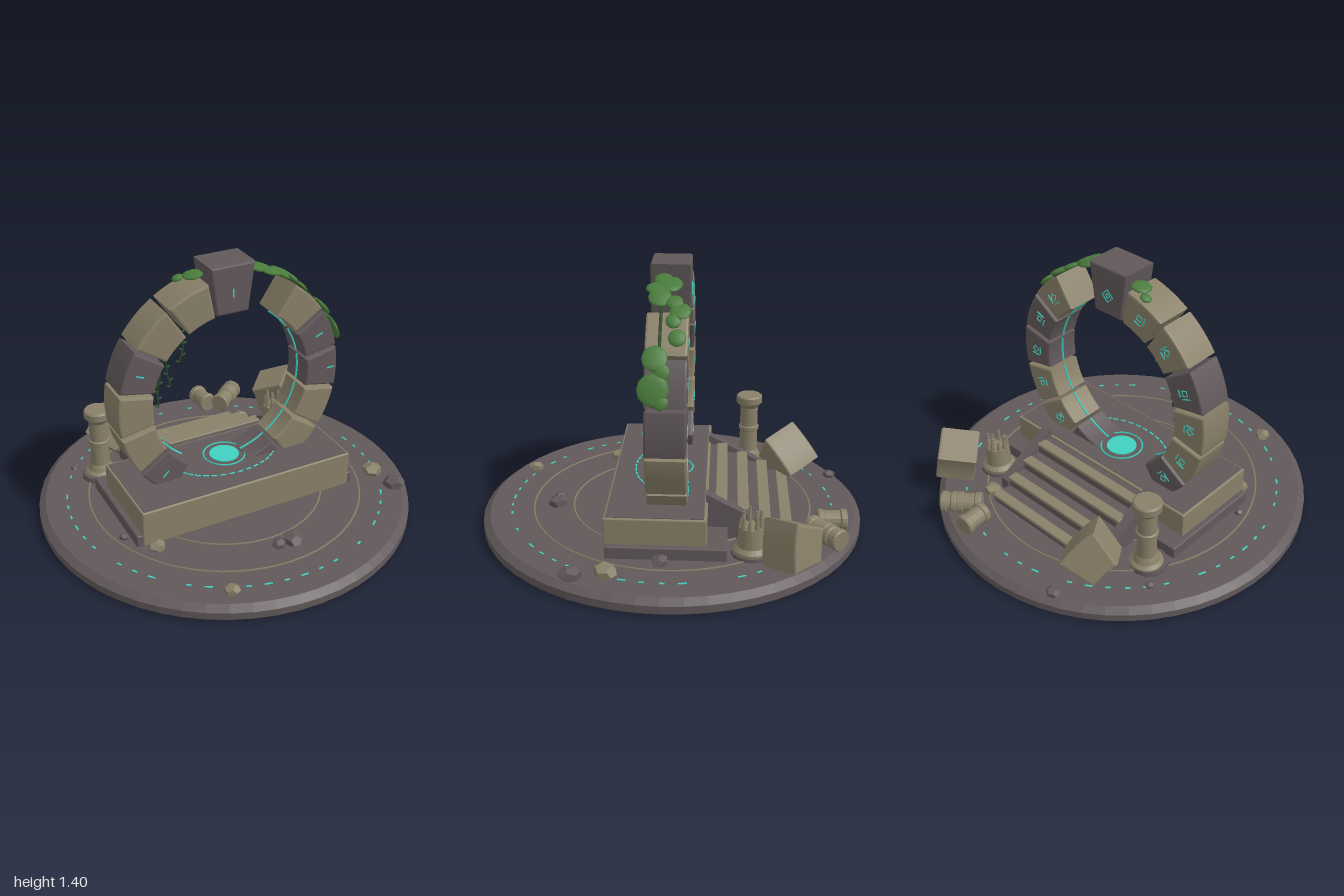
import * as THREE from 'three';
import { RoundedBoxGeometry } from 'three/addons/geometries/RoundedBoxGeometry.js';

const std = (name, color, extra = {}) => {
  const m = new THREE.MeshStandardMaterial({ color, ...extra });
  m.name = name;
  return m;
};

export function createModel() {
  const root = new THREE.Group();
  root.name = 'ruinedStoneGate';
  const dark = std('darkStone', 0x61585a);
  const tan = std('paleStone', 0x898069);
  const teal = std('glowTeal', 0x40d0c0);
  const leafGreen = std('leafGreen', 0x4a7c3c);
  const vineGreen = std('vineGreen', 0x2c4a26);
  const deg = Math.PI / 180;

  const add = (name, geo, mat, pos = [0, 0, 0], rot = [0, 0, 0], parent = root) => {
    const m = new THREE.Mesh(geo, mat);
    m.name = name;
    m.position.set(...pos);
    m.rotation.set(...rot);
    parent.add(m);
    return m;
  };
  const box = (name, w, h, d, mat, pos, rot, parent) =>
    add(name, new THREE.BoxGeometry(w, h, d), mat, pos, rot, parent);
  const lathe = (pts, n = 24) =>
    new THREE.LatheGeometry(pts.map(p => new THREE.Vector2(...p)), n);
  const flatten = g => {
    const f = g.index ? g.toNonIndexed() : g;
    f.computeVertexNormals();
    return f;
  };

  // Round plinth with inlaid rings and a dashed glowing circle
  const FLOOR = 0.075;
  add('roundBase', flatten(lathe([[0, 0], [0.99, 0], [1, 0.01], [1, 0.048], [0.965, FLOOR], [0, FLOOR]], 56)), dark);
  for (const r of [0.735, 0.525])
    add('inlaidRing', new THREE.TorusGeometry(r, 0.006, 4, 64), tan, [0, FLOOR, 0], [Math.PI / 2, 0, 0]);
  for (let i = 0; i < 56; i++) {
    if (i % 7 === 3 || i % 11 === 5) continue;
    const a = i / 56 * Math.PI * 2;
    box('glowDash', i % 3 ? 0.026 : 0.04, 0.006, 0.009, teal,
      [0.85 * Math.sin(a), FLOOR, 0.85 * Math.cos(a)], [0, a, 0]);
  }

  // Two-tier platform
  add('platformLower', new RoundedBoxGeometry(1.27, 0.075, 0.59, 2, 0.008), dark, [0, 0.1, -0.005]);
  add('platformUpper', new RoundedBoxGeometry(1.21, 0.2, 0.5, 2, 0.008), tan, [0, 0.173, 0.05]);
  box('platformTop', 1.185, 0.006, 0.475, dark, [0, 0.273, 0.052]);

  // Glowing portal seal on the platform
  add('sealDisc', new THREE.CylinderGeometry(0.08, 0.08, 0.006, 32), teal, [0, 0.278, 0]);
  add('sealRing', new THREE.TorusGeometry(0.112, 0.005, 4, 40), teal, [0, 0.278, 0], [Math.PI / 2, 0, 0]);
  for (let i = 0; i < 15; i++) {
    const a = (-68 + i * 136 / 14) * deg;
    box('sealDash', 0.03, 0.006, 0.008, teal,
      [0.29 * Math.sin(a), 0.277, 0.19 * Math.cos(a)],
      [0, Math.atan2(0.19 * Math.sin(a), 0.29 * Math.cos(a)), 0]);
  }

  // Rear stairs with pale treads and sloping side walls
  for (let i = 0; i < 4; i++) {
    const z = -0.62 + i * 0.11, top = 0.115 + i * 0.05, d = -0.2 - z;
    box('stepBody', 0.7, top - FLOOR, d, dark, [0, (top + FLOOR) / 2 - 0.004, z + d / 2]);
    add('stepTread', new RoundedBoxGeometry(0.71, 0.022, 0.06, 2, 0.006), tan, [0, top - 0.006, z + 0.025]);
  }
  const cheek = new THREE.Shape([[0.19, 0.07], [0.52, 0.07], [0.52, 0.14], [0.19, 0.315]].map(p => new THREE.Vector2(...p)));
  for (const s of [-1, 1])
    add('stairSideWall', new THREE.ExtrudeGeometry(cheek, { depth: 0.055, bevelEnabled: false }), dark,
      [s * 0.375 - 0.0275, 0, 0], [0, Math.PI / 2, 0]);

  // Wedge-shaped arch stone, its radial direction along +x
  const wedge = (r0, r1, half) => {
    const b = 0.01, s = new THREE.Shape();
    const h0 = half - 0.019 / r0, h1 = half - 0.019 / r1;
    s.absarc(0, 0, r1 - b, -h1, h1, false);
    s.absarc(0, 0, r0 + b, h0, -h0, true);
    s.closePath();
    const g = new THREE.ExtrudeGeometry(s, {
      depth: 0.18, bevelEnabled: true, bevelThickness: b, bevelSize: b, bevelSegments: 2, curveSegments: 8
    });
    return g.translate(0, 0, -0.09);
  };
  const stone = wedge(0.44, 0.625, 11.25 * deg);

  // Keystone: plain trapezoid standing proud of the arch
  const key = new THREE.Shape([[0.445, -0.077], [0.68, -0.11], [0.68, 0.11], [0.445, 0.077]].map(p => new THREE.Vector2(...p)));
  const keystone = new THREE.ExtrudeGeometry(key, {
    depth: 0.18, bevelEnabled: true, bevelThickness: 0.01, bevelSize: 0.01, bevelSegments: 2
  }).translate(0, 0, -0.09);

  // Arch: sixteen slots, one stone missing, carved runes on the faces
  const arch = new THREE.Group();
  arch.name = 'arch';
  arch.position.y = 0.71;
  root.add(arch);
  const darkSlots = [0, 1, 4, 7, 10, 13];
  for (const i of [0, 1, 2, 4, 5, 6, 7, 8, 9, 10, 13, 14, 15]) {
    const g = new THREE.Group();
    g.name = i === 4 ? 'keystoneGroup' : 'archStoneGroup';
    g.rotation.z = i * 22.5 * deg;
    arch.add(g);
    const isDark = darkSlots.includes(i);
    add(i === 4 ? 'keystone' : 'archStone', i === 4 ? keystone : stone, isDark ? dark : tan, [0, 0, 0], [0, 0, 0], g);
    const arc = 20 * deg;
    add('innerGlowLine', new THREE.TorusGeometry(0.438, 0.007, 4, 8, arc), teal, [0, 0, 0], [0, 0, -arc / 2], g);
    if (isDark) box('frontRune', 0.045, 0.007, 0.006, teal, [i === 0 ? 0.585 : 0.545, 0, 0.1], [0, 0, 0], g);
    const r = i === 4 ? 0.034 : 0.02;
    add('backRune', new THREE.TorusGeometry(r, 0.004, 4, 4), teal, [0.54, 0, -0.1], [0, 0, i % 2 * 0.8], g);
    if (i === 4) add('backRuneCore', new THREE.TorusGeometry(0.014, 0.004, 4, 4), teal, [0.54, 0, -0.1], [0, 0, 0], g);
    else {
      box('backRuneStroke', 0.05, 0.007, 0.006, teal, [0.54, 0.03 * (i % 2 ? 1 : -1), -0.1], [0, 0, 0], g);
      box('backRuneBar', 0.007, 0.04, 0.006, teal, [0.505, 0, -0.1], [0, 0, 0], g);
    }
  }

  // Creeper over the arch: stem plus flat leaf clumps [angle, z, radius]
  add('creeperStem', new THREE.TorusGeometry(0.632, 0.008, 5, 24, 62 * deg), vineGreen, [0, 0, 0.03], [0, 0, 16 * deg], arch);
  const leafGeo = new THREE.IcosahedronGeometry(1, 1);
  const leaves = [[76, 0.03, 0.05], [72, 0.0, 0.07], [69, 0.06, 0.055], [63, 0.04, 0.06], [60, -0.03, 0.045],
    [55, -0.06, 0.055], [50, -0.03, 0.04], [42, -0.05, 0.045], [33, 0.05, 0.065], [27, 0.02, 0.045],
    [20, 0.055, 0.08], [15, 0.02, 0.04], [104, -0.03, 0.055], [110, -0.07, 0.03]];
  leaves.forEach(([a, z, r], i) => {
    const m = add('leafClump', leafGeo, leafGreen,
      [0.642 * Math.cos(a * deg), 0.642 * Math.sin(a * deg), z], [0, 0, a * deg + (i % 3 - 1) * 0.12], arch);
    m.scale.set(0.014, r, r * 0.95);
  });

  // Hanging tendrils [x, top, bottom, z]
  for (const [x, y0, y1, z] of [[-0.25, 1.1, 0.91, 0.02], [-0.29, 1.06, 0.95, -0.04], [-0.335, 1.02, 0.8, 0.05],
    [-0.365, 0.98, 0.74, -0.02], [-0.39, 0.96, 0.71, 0.06], [-0.425, 0.88, 0.68, 0.0]]) {
    const at = t => new THREE.Vector3(x + 0.012 * Math.sin(t * 5 + x * 30), y0 + (y1 - y0) * t, z);
    const curve = new THREE.CatmullRomCurve3([0, 0.33, 0.66, 1].map(at));
    add('tendril', new THREE.TubeGeometry(curve, 10, 0.0045, 5), vineGreen);
    for (let k = 1; k <= 6; k++) {
      const p = curve.getPoint(k / 6), s = k % 2 ? 1 : -1;
      add('tendrilLeaf', leafGeo, vineGreen, [p.x + s * 0.011, p.y, p.z], [0, 0, s * 0.5]).scale.set(0.013, 0.005, 0.008);
    }
  }

  // Standing column
  const colPts = [[0, 0], [0.085, 0], [0.085, 0.03], [0.068, 0.045], [0.06, 0.065], [0.052, 0.08], [0.05, 0.2],
    [0.057, 0.205], [0.057, 0.225], [0.05, 0.23], [0.05, 0.34], [0.06, 0.355], [0.073, 0.37], [0.073, 0.405], [0.065, 0.413], [0, 0.413]];
  add('columnShaft', flatten(lathe(colPts)), tan, [-0.555, FLOOR, -0.415]);
  add('columnFoot', new THREE.CylinderGeometry(0.095, 0.1, 0.03, 12), dark, [-0.565, 0.085, -0.405]);

  // Broken column with a jagged crown
  add('brokenColumn', flatten(lathe([[0, 0], [0.09, 0], [0.09, 0.03], [0.07, 0.05], [0.062, 0.15], [0, 0.15]])), tan, [0.545, FLOOR, -0.415]);
  add('brokenColumnFoot', new THREE.CylinderGeometry(0.098, 0.1, 0.02, 12), dark, [0.545, 0.082, -0.415]);
  for (let i = 0; i < 9; i++) {
    const a = i / 9 * Math.PI * 2, h = 0.05 + (i * 5 % 9) * 0.005;
    add('brokenShard', new THREE.CylinderGeometry(0.007, 0.016, h, 5), tan,
      [0.545 + 0.05 * Math.sin(a), 0.215 + h / 2, -0.415 + 0.05 * Math.cos(a)]);
  }

  // Fallen column drums lying on the floor
  const drum = L => flatten(lathe([[0, 0], [0.05, 0], [0.056, 0.008], [0.056, 0.03], [0.048, 0.036],
    [0.048, L - 0.036], [0.056, L - 0.03], [0.056, L - 0.008], [0.05, L], [0, L]], 18));
  add('fallenDrum', drum(0.15), tan, [0.28, 0.128, -0.75], [-Math.PI / 2, 0, 0.08]);
  const long = new THREE.Group();
  long.name = 'fallenShaft';
  long.position.set(0.335, 0.128, -0.715);
  long.rotation.y = 40 * deg;
  root.add(long);
  add('fallenShaftDrum', drum(0.13), tan, [0, 0, 0], [0, 0, -Math.PI / 2], long);
  add('fallenShaftDrum', drum(0.09), tan, [0.125, 0, 0], [0, 0, -Math.PI / 2], long);

  // Fallen arch stones
  const loose = stone.clone().translate(-0.535, 0, 0);
  add('fallenStone', loose, tan, [0.665, 0.2, -0.6], [0.25, -0.75, 0.4]).scale.setScalar(1.04);
  add('fallenStone', loose, tan, [-0.39, 0.2, -0.63], [0.4, 0.6, 0.5]).scale.setScalar(1.08);

  // Scattered rubble [x, z, radius, material]
  const rockGeo = new THREE.DodecahedronGeometry(1, 0);
  [[-0.36, -0.87, 0.035, dark], [-0.67, -0.52, 0.025, dark], [-0.665, 0.19, 0.025, dark], [-0.55, 0.34, 0.045, tan],
    [-0.37, 0.8, 0.04, tan], [0, 0.6, 0.036, dark], [0.08, 0.6, 0.052, dark], [0.67, 0.02, 0.042, dark],
    [0.785, 0.27, 0.056, tan], [0.82, 0.43, 0.056, dark], [0.41, -0.58, 0.045, tan]].forEach(([x, z, r, m], i) => {
    add('rubble', rockGeo, m, [x, FLOOR + r * 0.35, z], [0, i * 1.3, 0.15]).scale.set(r * 1.1, r * 0.7, r);
  });

  return root;
}
